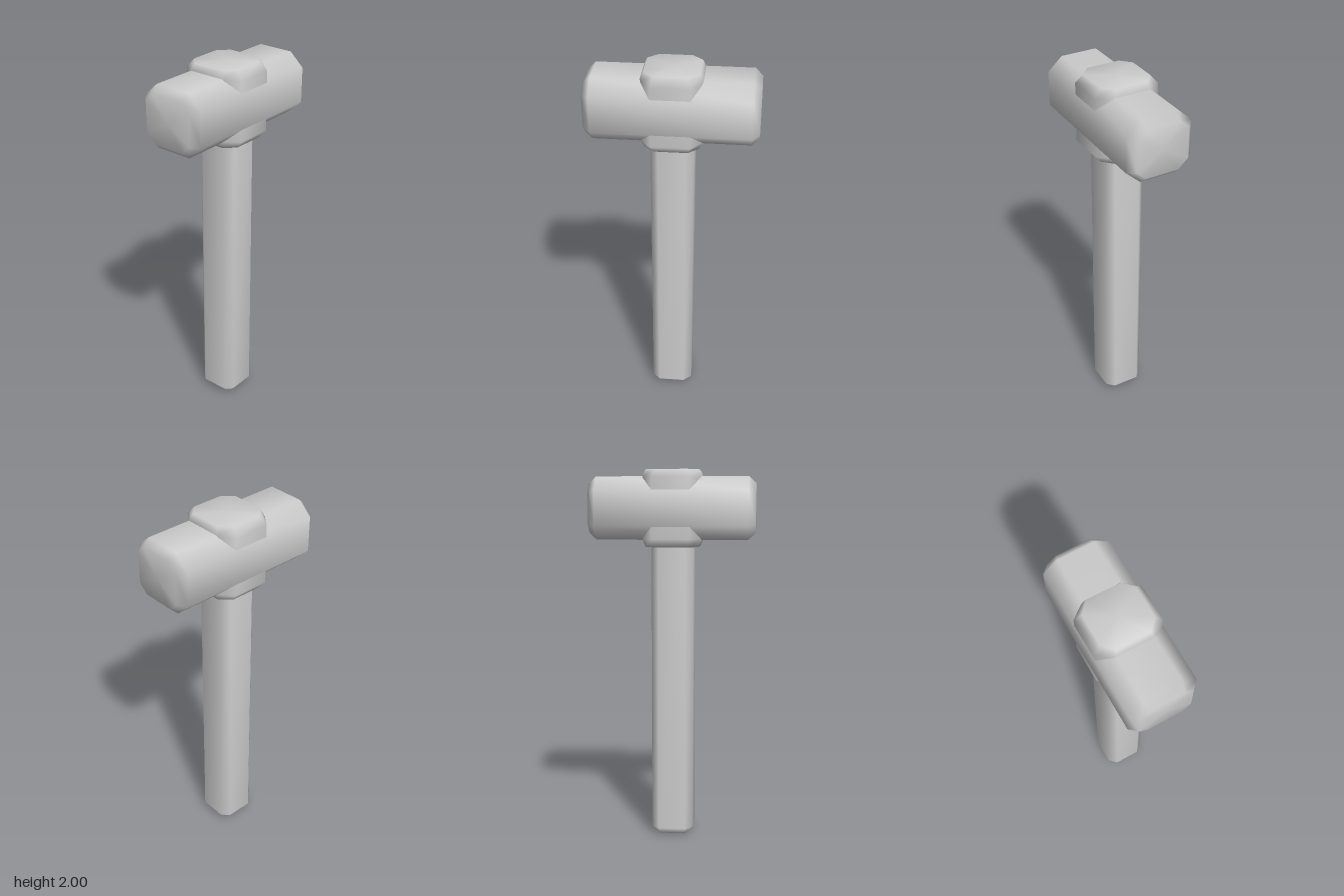
import * as THREE from 'three';

// Smooth solid from octagonal cross-sections stacked along y.
// Each section: [y, halfX, halfZ, flatX, flatZ], flats being half the straight side lengths.
function loftOctagons(sections) {
  const pos = [], index = [], n = 8;
  for (const [y, w, d, fx, fz] of sections) {
    const ring = [[w, -fz], [w, fz], [fx, d], [-fx, d], [-w, fz], [-w, -fz], [-fx, -d], [fx, -d]];
    for (const [x, z] of ring) pos.push(x, y, z);
  }
  const last = sections.length - 1;
  const bottom = pos.length / 3, top = bottom + 1;
  pos.push(0, sections[0][0], 0, 0, sections[last][0], 0);
  for (let k = 0; k < n; k++) {
    const next = (k + 1) % n;
    for (let i = 0; i < last; i++) {
      const a = i * n + k, b = i * n + next, c = a + n, d = b + n;
      index.push(a, c, b, b, c, d);
    }
    index.push(bottom, k, next, top, last * n + next, last * n + k);
  }
  const geometry = new THREE.BufferGeometry();
  geometry.setAttribute('position', new THREE.Float32BufferAttribute(pos, 3));
  geometry.setIndex(index);
  geometry.computeVertexNormals();
  return geometry;
}

export function createModel() {
  const group = new THREE.Group();
  const grey = new THREE.MeshStandardMaterial({ color: 0xcccccc });
  grey.name = 'grey';

  const add = (name, geometry, y) => {
    const mesh = new THREE.Mesh(geometry, grey);
    mesh.name = name;
    mesh.position.y = y;
    group.add(mesh);
  };

  // Handle: square shaft with bevelled edges and a bevelled butt
  add('handle', loftOctagons([
    [0, 0.072, 0.072, 0.066, 0.066],
    [0.04, 0.112, 0.112, 0.072, 0.072],
    [1.65, 0.112, 0.112, 0.072, 0.072],
  ]), 0);

  // Striking head: long bevelled bar lying along z
  const bar = loftOctagons([
    [-0.443, 0.14, 0.13, 0.09, 0.085],
    [-0.403, 0.179, 0.166, 0.1, 0.095],
    [0.403, 0.179, 0.166, 0.1, 0.095],
    [0.443, 0.14, 0.13, 0.09, 0.085],
  ]);
  bar.rotateX(Math.PI / 2);
  add('hammerHead', bar, 1.798);

  // Collar: thicker block around the handle socket
  add('headCollar', loftOctagons([
    [-0.203, 0.142, 0.14, 0.09, 0.085],
    [-0.16, 0.178, 0.16, 0.1, 0.1],
    [0.16, 0.178, 0.16, 0.1, 0.1],
    [0.203, 0.142, 0.14, 0.09, 0.085],
  ]), 1.797);

  return group;
}
